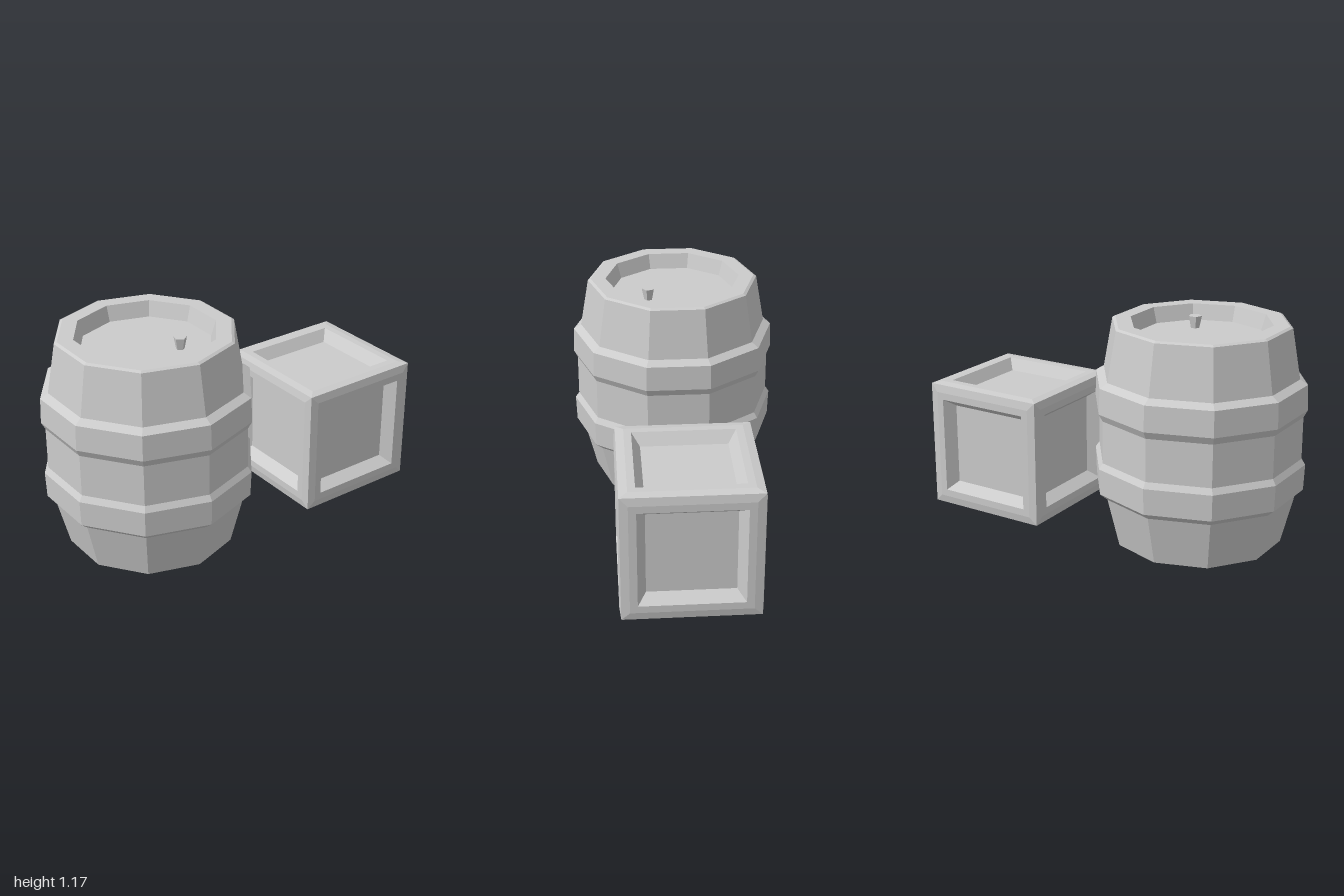
import * as THREE from 'three';

const material = new THREE.MeshStandardMaterial({ color: 0xcccccc, flatShading: true });

// Faceted solid of revolution from [radius, height] pairs, listed bottom to top
function faceted(name, profile, sides, startAngle) {
  const points = profile.map(([r, y]) => new THREE.Vector2(r, y));
  const mesh = new THREE.Mesh(new THREE.LatheGeometry(points, sides, startAngle), material);
  mesh.name = name;
  return mesh;
}

function createBarrel() {
  const barrel = new THREE.Group();
  barrel.name = 'barrel';

  // Ten-sided shell with two raised hoops and a sunken lid
  barrel.add(faceted('barrelShell', [
    [0, 0.03], [0.435, 0.03], [0.5, 0.29],
    [0.54, 0.325], [0.545, 0.46], [0.525, 0.49],   // lower hoop
    [0.525, 0.71], [0.545, 0.748], [0.54, 0.88],   // upper hoop
    [0.5, 0.905], [0.455, 1.162], [0.44, 1.17],
    [0.36, 1.17], [0.335, 1.09], [0, 1.09],        // rim and lid
  ], 10, Math.PI / 2));

  // Tapered plug standing on the lid
  const plug = new THREE.Mesh(new THREE.CylinderGeometry(0.035, 0.022, 0.065, 5), material);
  plug.name = 'plug';
  plug.position.set(0.135, 1.12, -0.11);
  plug.rotation.y = Math.PI / 2;
  barrel.add(plug);
  return barrel;
}

function createCrate() {
  const crate = new THREE.Group();
  crate.name = 'crate';
  const square = (name, profile) =>
    faceted(name, profile.map(([half, y]) => [half * Math.SQRT2, y]), 4, Math.PI / 4);

  // Each side: softened edge, flat frame, sloped reveal and recessed panel
  const framed = [[0.342, 0.342], [0.3, 0.35], [0.262, 0.35], [0.22, 0.29], [0, 0.29]];
  const plain = [[0.342, 0.342], [0.29, 0.35], [0, 0.35]];
  const sides = [
    ['topPanel', 0, 0], ['frontPanel', Math.PI / 2, 0], ['backPanel', -Math.PI / 2, 0],
    ['leftPanel', 0, -Math.PI / 2], ['rightPanel', 0, Math.PI / 2], ['base', Math.PI, 0],
  ];
  for (const [name, rx, rz] of sides) {
    const side = square(name, name === 'base' ? plain : framed);
    side.rotation.set(rx, 0, rz);
    crate.add(side);
  }
  return crate;
}

export function createModel() {
  const model = new THREE.Group();
  model.name = 'barrelAndCrate';

  const barrel = createBarrel();
  barrel.position.z = 0.477;
  const crate = createCrate();
  crate.position.set(0, 0.35, -0.65);

  model.add(barrel, crate);
  return model;
}
